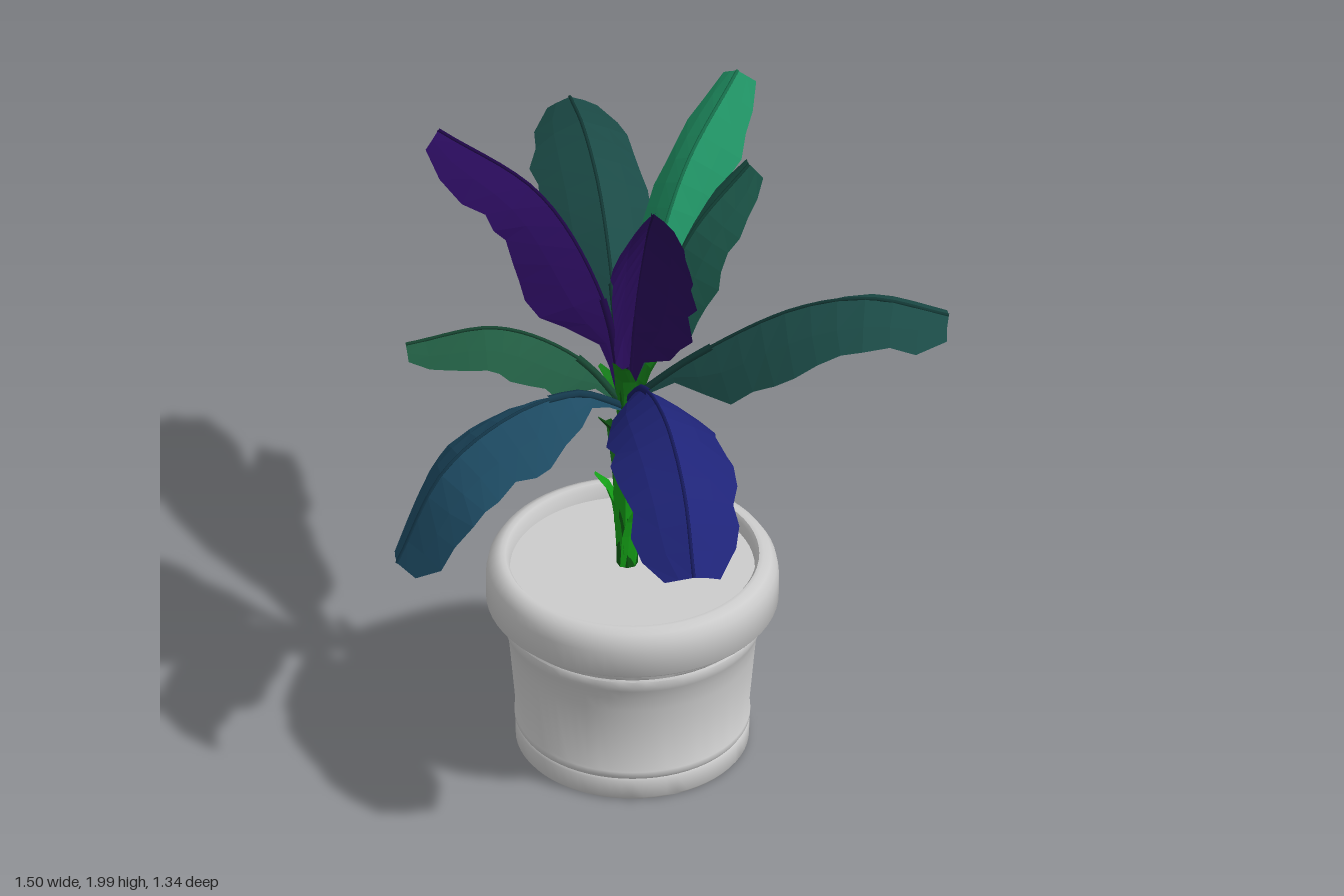
import * as THREE from 'three';
import { toCreasedNormals } from 'three/addons/utils/BufferGeometryUtils.js';

const UP = new THREE.Vector3(0, 1, 0);
const POT_X = 0.035, POT_Z = -0.004;

function seeded(seed) {
  let s = seed;
  return () => (s = (s * 16807) % 2147483647) / 2147483647;
}

const toCurve = (points) => new THREE.CatmullRomCurve3(points.map((p) => new THREE.Vector3(...p)));

// Piecewise linear lookup in [[t, value], ...]
function lookup(table, t) {
  for (let i = 1; i < table.length; i++) {
    const [t0, v0] = table[i - 1], [t1, v1] = table[i];
    if (t <= t1) return v0 + ((v1 - v0) * (t - t0)) / (t1 - t0);
  }
  return table[table.length - 1][1];
}

// Folded strip along a curve: spread is the half width seen from above,
// drop lowers the edges and eases off towards the tip
function bladeGeometry(curve, spread, drop, profile, rows, jitter, seed) {
  const rand = seeded(seed), pos = [], index = [], cols = [-1, -0.55, 0, 0.55, 1];
  const side = new THREE.Vector3(), normal = new THREE.Vector3(), v = new THREE.Vector3();
  for (let i = 0; i <= rows; i++) {
    const t = i / rows, p = curve.getPointAt(t), tangent = curve.getTangentAt(t);
    side.crossVectors(tangent, UP).normalize();
    normal.crossVectors(side, tangent);
    const w = lookup(profile, t), fall = drop * (1.25 - 0.65 * t);
    for (const s of cols) {
      const edge = Math.abs(s) === 1;
      const k = edge ? w * (1 + (rand() - 0.5) * jitter) : w;
      v.copy(p).addScaledVector(side, s * k * spread);
      v.addScaledVector(normal, -Math.pow(Math.abs(s), 1.25) * k * fall);
      if (edge) v.addScaledVector(tangent, (rand() - 0.5) * jitter * w * spread);
      pos.push(v.x, v.y, v.z);
    }
  }
  const n = cols.length;
  for (let i = 0; i < rows; i++) {
    for (let j = 0; j < n - 1; j++) {
      const a = i * n + j, b = a + n;
      index.push(a, a + 1, b, a + 1, b + 1, b);
    }
  }
  const g = new THREE.BufferGeometry();
  g.setAttribute('position', new THREE.Float32BufferAttribute(pos, 3));
  g.setIndex(index);
  g.computeVertexNormals();
  return g;
}

function addMesh(parent, name, geometry, color, options = {}) {
  const mesh = new THREE.Mesh(geometry, new THREE.MeshStandardMaterial({ color, ...options }));
  mesh.name = name;
  parent.add(mesh);
  return mesh;
}

const LEAF_PROFILE = [[0, 0.08], [0.14, 0.12], [0.23, 0.58], [0.33, 0.9], [0.5, 1],
  [0.72, 0.97], [0.86, 0.88], [0.94, 0.74], [1, 0.45]];
const SHEATH_PROFILE = [[0, 1], [0.5, 1.05], [0.8, 0.75], [1, 0.25]];

// Each leaf: name, color, spread, drop, spine from crown to tip
const LEAVES = [
  ['backRightLeaf', 0x1b4a46, 0.15, 0.11,
    [[0, 1.08, 0], [-0.15, 1.27, -0.12], [-0.35, 1.43, -0.27], [-0.55, 1.475, -0.41], [-0.71, 1.445, -0.52]]],
  ['backLeaf', 0x1f8f62, 0.1, 0.11,
    [[0.01, 1.08, 0], [-0.04, 1.34, -0.14], [-0.12, 1.58, -0.36], [-0.21, 1.71, -0.65]]],
  ['backSmallLeaf', 0x1b5548, 0.1, 0.09,
    [[0.02, 1.1, 0], [0.05, 1.34, -0.07], [0.09, 1.57, -0.18], [0.14, 1.73, -0.34]]],
  ['backLeftLeaf', 0x1b4a46, 0.15, 0.12,
    [[0.03, 1.08, 0], [0.17, 1.24, -0.1], [0.4, 1.43, -0.26], [0.56, 1.48, -0.38], [0.71, 1.43, -0.52]]],
  ['frontLeftLeaf', 0x1f2478, 0.155, 0.11,
    [[0.02, 1.07, 0], [0.16, 1.22, 0.08], [0.36, 1.275, 0.2], [0.57, 1.21, 0.34], [0.715, 1.06, 0.45]]],
  ['tallLeftLeaf', 0x2a0c5c, 0.11, 0.18,
    [[0.02, 1.08, 0], [0.08, 1.42, 0.03], [0.2, 1.74, 0.11], [0.385, 1.99, 0.27]]],
  ['frontLeaf', 0x1d4a62, 0.145, 0.1,
    [[0.02, 1.05, 0], [-0.02, 1.15, 0.15], [-0.08, 1.14, 0.33], [-0.14, 1.03, 0.53], [-0.19, 0.77, 0.66]]],
  ['tallRightLeaf', 0x2a0c5c, 0.1, 0.16,
    [[0, 1.1, 0], [-0.06, 1.39, 0.02], [-0.23, 1.66, 0.08], [-0.48, 1.81, 0.21]]],
  ['frontRightLeaf', 0x215c42, 0.1, 0.1,
    [[0.01, 1.05, 0], [-0.08, 1.22, 0.1], [-0.22, 1.315, 0.25], [-0.375, 1.28, 0.44]]],
];

export function createModel() {
  const model = new THREE.Group();
  model.name = 'pottedPlant';

  // Pot: turned profile with base rings, a shoulder and a heavy rounded rim
  const potProfile = [[0, 0], [0.305, 0], [0.311, 0.008], [0.312, 0.06], [0.308, 0.066], [0.314, 0.076],
    [0.314, 0.09], [0.31, 0.096], [0.328, 0.3], [0.332, 0.34], [0.344, 0.372], [0.348, 0.385],
    [0.348, 0.405], [0.344, 0.41], [0.354, 0.425], [0.354, 0.445], [0.385, 0.448], [0.39, 0.454],
    [0.39, 0.525], [0.385, 0.552], [0.37, 0.575], [0.35, 0.585], [0.338, 0.583], [0.33, 0.572], [0.325, 0.53]];
  const pot = addMesh(model, 'pot', toCreasedNormals(
    new THREE.LatheGeometry(potProfile.map(([r, y]) => new THREE.Vector2(r, y)), 64), 0.7), 0xcccccc);
  pot.position.set(POT_X, 0, POT_Z);

  // Soil disc inside the rim
  const soil = addMesh(model, 'soil', new THREE.CircleGeometry(0.328, 64), 0xcccccc);
  soil.rotation.x = -Math.PI / 2;
  soil.position.set(POT_X, 0.54, POT_Z);

  // Trunk, leaning slightly
  const trunkCurve = toCurve([[0.01, 0.53, -0.01], [0.01, 0.8, -0.01], [0.025, 1, -0.005], [0.02, 1.14, 0]]);
  addMesh(model, 'trunk', new THREE.TubeGeometry(trunkCurve, 8, 0.029, 8), 0x0b5a10, { flatShading: true });

  // Broad sheaths wrapping the trunk in a spiral, their tips flaring out
  const sheaths = new THREE.Group();
  sheaths.name = 'sheaths';
  model.add(sheaths);
  const greens = [0x14a016, 0x0d4a10, 0x147a18];
  for (let i = 0; i < 12; i++) {
    const a = i * 2.4, base = trunkCurve.getPointAt(0.02 + (i / 11) * 0.76);
    const at = (r, h) => [base.x + Math.cos(a) * r, base.y + h, base.z + Math.sin(a) * r];
    const curve = toCurve([at(0.029, 0), at(0.038, 0.13), at(0.054, 0.19), at(0.088, 0.24)]);
    addMesh(sheaths, 'sheath', bladeGeometry(curve, 0.034, -0.018, SHEATH_PROFILE, 5, 0, 1),
      greens[Math.floor(i / 4)], { flatShading: true, side: THREE.DoubleSide });
  }

  // Leaves with ragged edges, a midrib and a stalk
  LEAVES.forEach(([name, color, spread, drop, spine], i) => {
    const leaf = new THREE.Group();
    leaf.name = name;
    const curve = toCurve(spine);
    addMesh(leaf, 'blade', bladeGeometry(curve, spread, drop, LEAF_PROFILE, 13, 0.2, 97 + i * 7919),
      color, { flatShading: true, side: THREE.DoubleSide });
    const dark = new THREE.Color(color).multiplyScalar(0.6);
    addMesh(leaf, 'midrib', new THREE.TubeGeometry(curve, 20, 0.005, 5), dark);
    const stalk = new THREE.CatmullRomCurve3([0, 0.1, 0.2, 0.3].map((t) => curve.getPointAt(t)));
    addMesh(leaf, 'stalk', new THREE.TubeGeometry(stalk, 6, 0.011, 6), dark);
    model.add(leaf);
  });

  return model;
}
